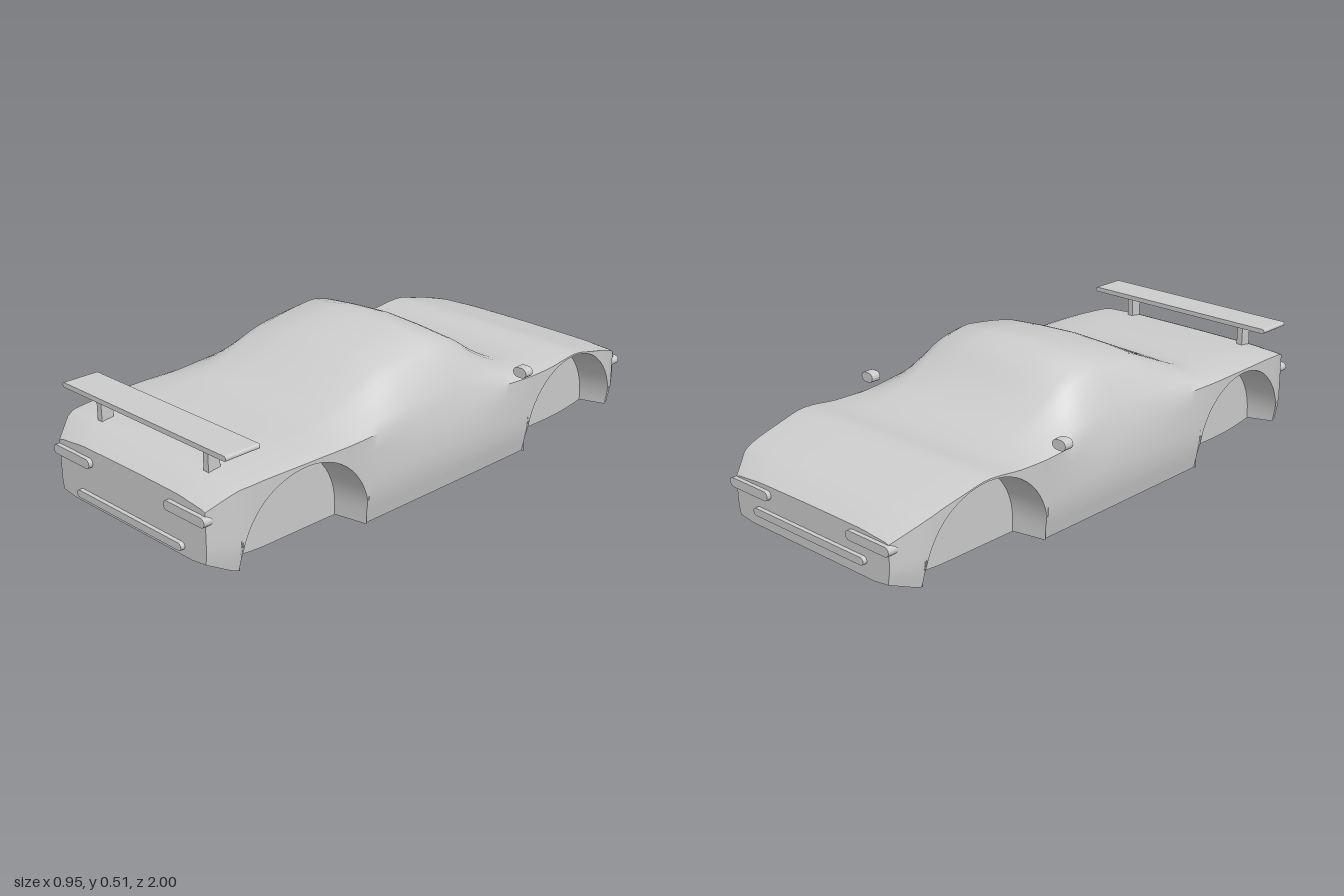
import * as THREE from 'three';
import { toCreasedNormals } from 'three/addons/utils/BufferGeometryUtils.js';

const ARCH = { z: 0.642, y: 0.045, r: 0.252, inner: 0.293 };

// Smooth function through [z, value] points, z rising
function through(pts) {
  const slope = (i) => {
    const a = pts[Math.max(i - 1, 0)], b = pts[Math.min(i + 1, pts.length - 1)];
    return (b[1] - a[1]) / (b[0] - a[0]);
  };
  return (z) => {
    let i = 0;
    while (i < pts.length - 2 && z > pts[i + 1][0]) i++;
    const [z0, v0] = pts[i], [z1, v1] = pts[i + 1], d = z1 - z0;
    const t = Math.min(Math.max((z - z0) / d, 0), 1), t2 = t * t, t3 = t2 * t;
    return v0 * (2 * t3 - 3 * t2 + 1) + v1 * (3 * t2 - 2 * t3)
      + d * (slope(i) * (t3 - 2 * t2 + t) + slope(i + 1) * (t3 - t2));
  };
}

const roofY = through([[-0.985, 0.2], [-0.93, 0.24], [-0.85, 0.265], [-0.75, 0.29], [-0.65, 0.312],
  [-0.57, 0.303], [-0.5, 0.303], [-0.42, 0.315], [-0.35, 0.34], [-0.26, 0.394], [-0.15, 0.474],
  [-0.05, 0.505], [0, 0.502], [0.1, 0.486], [0.2, 0.461], [0.3, 0.415], [0.36, 0.386], [0.46, 0.343],
  [0.55, 0.331], [0.7, 0.325], [0.87, 0.312], [0.92, 0.3], [0.985, 0.26]]);
const shoulderY = through([[-0.985, 0.185], [-0.92, 0.232], [-0.85, 0.258], [-0.75, 0.283], [-0.65, 0.303],
  [-0.5, 0.29], [-0.3, 0.29], [0, 0.3], [0.3, 0.305], [0.65, 0.308], [0.88, 0.3], [0.92, 0.288], [0.985, 0.24]]);
const halfWidth = through([[-0.985, 0.36], [-0.91, 0.408], [-0.8, 0.422], [-0.6, 0.433], [0, 0.436],
  [0.6, 0.433], [0.8, 0.422], [0.91, 0.408], [0.985, 0.362]]);
const floorY = through([[-0.985, 0.045], [-0.9, 0.022], [-0.75, 0.002], [-0.6, 0], [0.6, 0],
  [0.75, 0.002], [0.9, 0.024], [0.985, 0.06]]);

// How much of the cabin stands above the shoulder at z, 0 to 1
const cabin = (z) => Math.min(Math.max((roofY(z) - shoulderY(z) - 0.03) / 0.17, 0), 1);

// Body side: tucked in at the sill, leaning in beside the cabin
function sideX(y, z) {
  const sill = Math.min(Math.max((0.1 - y) / 0.09, 0), 1);
  const lean = Math.max((y - 0.15) / (shoulderY(z) - 0.15), 0);
  return halfWidth(z) * (1 - 0.045 * sill - 0.06 * cabin(z) * lean * lean);
}

// Stations along the body, each with the lower edge of the side there
function makeStations() {
  const list = [];
  const plain = (z) => list.push({ z, low: floorY(z) + 0.008, well: false });
  const arch = (centre) => {
    plain(centre - ARCH.r - 0.002);
    for (let i = 0; i <= 28; i++) {
      const a = Math.PI * (1 - i / 28);
      list.push({ z: centre + ARCH.r * Math.cos(a), low: ARCH.y + ARCH.r * Math.sin(a), well: true });
    }
    plain(centre + ARCH.r + 0.002);
  };
  [-0.985, -0.915].forEach(plain);
  arch(-ARCH.z);
  for (let i = 0; i <= 28; i++) plain(-0.37 + 0.74 * i / 28);
  arch(ARCH.z);
  [0.92, 0.985].forEach(plain);
  return list;
}

// Half outline from lower edge to roof centre, then mirrored
function section({ z, low }) {
  const sh = shoulderY(z), h = roofY(z) - sh, c = cabin(z), half = [];
  for (let k = 0; k <= 6; k++) {
    const y = low + (sh - low) * k / 6;
    half.push([sideX(y, z), y]);
  }
  const w = halfWidth(z);
  [[0.95 - 0.05 * c, 0.3 - 0.05 * c], [0.79, 0.61], [0.72, 0.78], [0.63, 0.89], [0.32, 0.96], [0, 1]]
    .forEach(([fx, fy]) => half.push([w * fx, sh + h * fy]));
  const other = half.slice(0, -1).reverse().map(([x, y]) => [-x, y]);
  return [...half, ...other].map(([x, y]) => [x, y, z]);
}

// Surface over rows of points
function surface(rows, crease = 0.6) {
  const n = rows[0].length, index = [];
  for (let i = 0; i < rows.length - 1; i++) {
    for (let j = 0; j < n - 1; j++) {
      const a = i * n + j, b = a + n;
      index.push(a, a + 1, b, a + 1, b + 1, b);
    }
  }
  const g = new THREE.BufferGeometry();
  g.setAttribute('position', new THREE.Float32BufferAttribute(rows.flat(2), 3));
  g.setIndex(index);
  return toCreasedNormals(g, crease);
}

// Flat bar with rounded or cut ends, centred on its own middle
function bar(width, height, depth, segments) {
  const r = height / 2, x = width / 2 - r, s = new THREE.Shape();
  s.absarc(x, 0, r, -Math.PI / 2, Math.PI / 2, false);
  s.absarc(-x, 0, r, Math.PI / 2, Math.PI * 1.5, false);
  s.closePath();
  return new THREE.ExtrudeGeometry(s, { depth, bevelEnabled: false, curveSegments: segments })
    .translate(0, 0, -depth / 2);
}

export function createModel() {
  const car = new THREE.Group();
  car.name = 'car';
  const paint = new THREE.MeshStandardMaterial({ color: 0xcccccc, side: THREE.DoubleSide });
  paint.name = 'light grey';
  const add = (name, geometry, x = 0, y = 0, z = 0) => {
    const m = new THREE.Mesh(geometry, paint);
    m.name = name;
    m.position.set(x, y, z);
    car.add(m);
  };

  // Skin and floor
  const stations = makeStations();
  add('bodyShell', surface(stations.map(section)));
  add('floor', surface(stations.map(({ z, low, well }) => {
    const f = floorY(z), x = well ? ARCH.inner : sideX(low, z), y = well ? f : low;
    return [[-x, y, z], [-ARCH.inner, f, z], [ARCH.inner, f, z], [x, y, z]];
  }), 0.3));

  // Flat end panels
  for (const [name, s] of [['nosePanel', stations[0]], ['tailPanel', stations[stations.length - 1]]]) {
    const outline = section(s).map(([x, y]) => new THREE.Vector2(x, y));
    outline.push(new THREE.Vector2(-ARCH.inner, floorY(s.z)), new THREE.Vector2(ARCH.inner, floorY(s.z)));
    const g = new THREE.ShapeGeometry(new THREE.Shape(outline));
    if (s.z < 0) g.rotateY(Math.PI);
    add(name, g, 0, 0, s.z);
  }

  // Wheel wells: tapered arch lining and flat inner wall
  for (const side of [-1, 1]) {
    for (const centre of [-ARCH.z, ARCH.z]) {
      const lining = [], wall = [];
      for (const { z, low } of stations.filter((s) => s.well && s.z * centre > 0)) {
        const zi = centre + (z - centre) * 0.95, yi = ARCH.y + (low - ARCH.y) * 0.95;
        lining.push([[side * sideX(low, z), low, z], [side * ARCH.inner, yi, zi]]);
        wall.push([[side * ARCH.inner, yi, zi], [side * ARCH.inner, floorY(zi), zi]]);
      }
      // Short straight legs below the arch
      const leg = ([[x, , z], [xi, , zi]]) =>
        [[x, floorY(z) + 0.008, z], [xi, floorY(zi), zi]];
      lining.unshift(leg(lining[0]));
      lining.push(leg(lining[lining.length - 1]));
      add('wheelWellLining', surface(lining));
      add('wheelWellWall', surface(wall));
    }
  }

  // Lamps and grille bars at both ends
  for (const [end, lampY, barY] of [[1, 0.212, 0.093], [-1, 0.168, 0.1]]) {
    for (const side of [-1, 1]) add('lamp', bar(0.19, 0.032, 0.04, 8), side * 0.28, lampY, end * 0.98);
    add('bumperBar', bar(0.522, 0.026, 0.04, 8), 0, barY, end * 0.98);
  }

  // Wing on two posts
  add('wing', bar(0.8, 0.017, 0.13, 4), 0, 0.403, 0.867);
  for (const side of [-1, 1]) {
    add('wingPost', new THREE.BoxGeometry(0.023, 0.095, 0.045), side * 0.262, 0.35, 0.872);
    add('mirror', bar(0.056, 0.035, 0.036, 3), side * 0.447, 0.328, -0.338);
  }
  return car;
}
